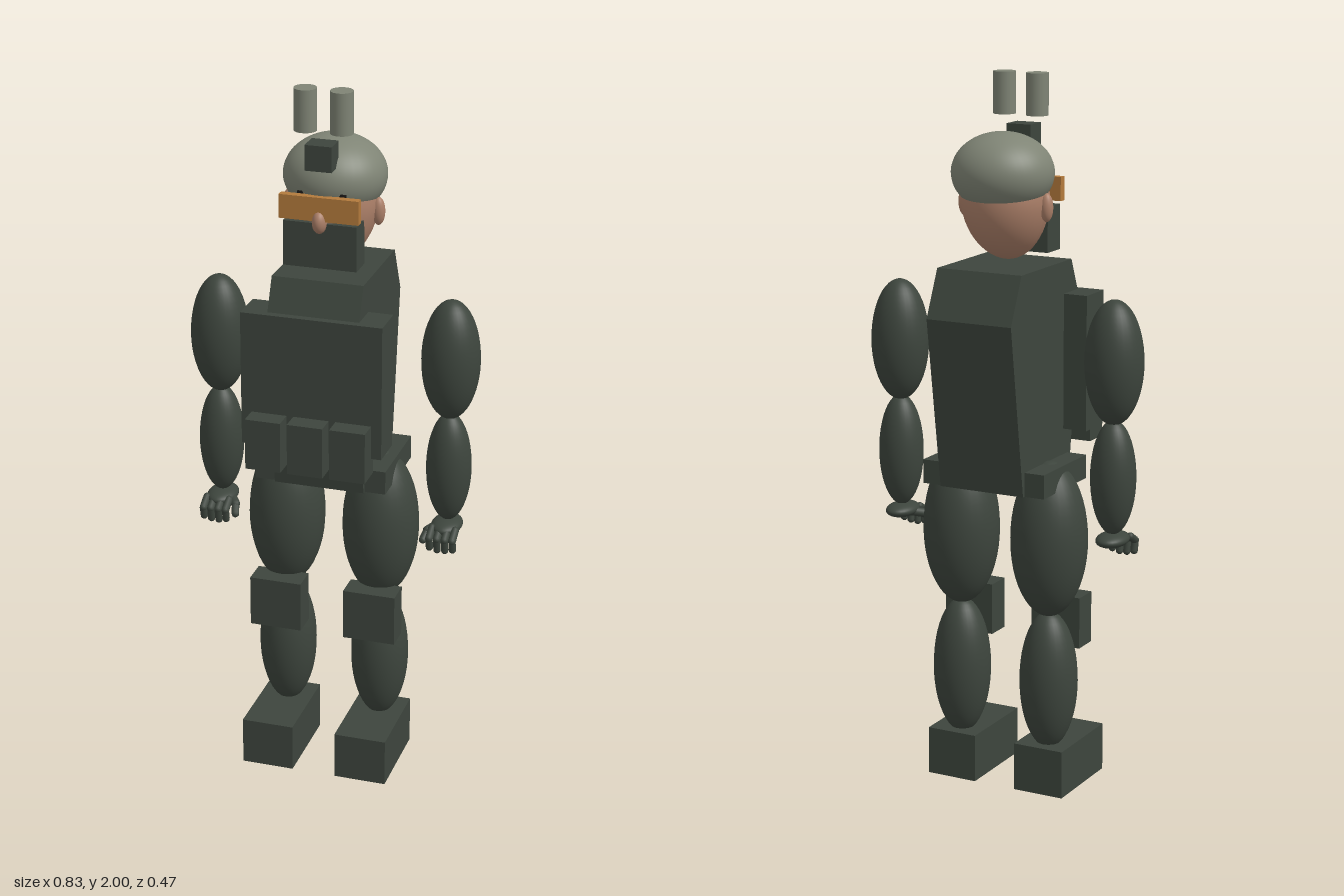
import * as THREE from 'three';

const mat = (name, color, side = THREE.FrontSide) => {
  const m = new THREE.MeshStandardMaterial({ color, side });
  m.name = name;
  return m;
};

export function createModel() {
  const root = new THREE.Group();
  root.name = 'soldier';
  const gear = mat('dark green gear', 0x3d453d);
  const shell = mat('grey green shell', 0x7f8475, THREE.DoubleSide);
  const skin = mat('skin', 0xab7f68);
  const amber = mat('amber lens', 0xb37a3c);
  const white = mat('eye white', 0xd8d8d0);
  const dark = mat('pupil and brow', 0x1c1a18);

  const add = (name, geo, material, x = 0, y = 0, z = 0, parent = root) => {
    const m = new THREE.Mesh(geo, material);
    m.name = name;
    m.position.set(x, y, z);
    parent.add(m);
    return m;
  };
  // box given by its extents on each axis
  const box = (name, material, [x0, x1], [y0, y1], [z0, z1], parent) =>
    add(name, new THREE.BoxGeometry(x1 - x0, y1 - y0, z1 - z0), material,
      (x0 + x1) / 2, (y0 + y1) / 2, (z0 + z1) / 2, parent);
  const ball = (name, material, [x, y, z], [rx, ry, rz], parent) =>
    add(name, new THREE.SphereGeometry(1, 32, 24).scale(rx, ry, rz), material, x, y, z, parent);
  // rounded rod between two points
  const rod = (name, material, a, b, r, parent) => {
    const p = new THREE.Vector3(...a), q = new THREE.Vector3(...b);
    const d = q.clone().sub(p);
    const m = add(name, new THREE.CapsuleGeometry(r, d.length(), 4, 10), material, 0, 0, 0, parent);
    m.position.copy(p).lerp(q, 0.5);
    m.quaternion.setFromUnitVectors(new THREE.Vector3(0, 1, 0), d.normalize());
    return m;
  };

  // torso: side profile (z, y) extruded across x
  const profile = [[0.12, 1.49], [-0.175, 1.49], [-0.235, 1.36], [-0.165, 0.88], [0.11, 0.88], [0.175, 1.36]];
  const torso = new THREE.ExtrudeGeometry(
    new THREE.Shape(profile.map(([z, y]) => new THREE.Vector2(-z, y))),
    { depth: 0.256, bevelEnabled: false });
  torso.translate(0, 0, -0.128).rotateY(Math.PI / 2);
  add('torso', torso, gear);
  box('chestPlate', gear, [-0.198, 0.198], [1.02, 1.4], [0.075, 0.18]);
  box('belt', gear, [-0.187, 0.187], [0.88, 0.947], [-0.157, 0.1]);
  for (const x of [-0.119, 0, 0.119])
    box('pouch', gear, [x - 0.05, x + 0.05], [0.97, 1.115], [0.16, 0.237]);

  // head: ellipsoid narrowing forward to the chin
  const head = new THREE.SphereGeometry(1, 40, 28);
  const p = head.attributes.position;
  for (let i = 0; i < p.count; i++) {
    const y = p.getY(i), low = Math.max(0, -y);
    p.setXYZ(i, p.getX(i) * 0.122 * (1 - 0.1 * low), y * 0.16, p.getZ(i) * 0.118 + 0.02 * low * low);
  }
  head.computeVertexNormals();
  add('head', head, skin, 0, 1.66, -0.025);
  ball('nose', skin, [0, 1.648, 0.1], [0.02, 0.032, 0.026]);

  // helmet: open dome, raised at the brow
  const dome = new THREE.SphereGeometry(1, 40, 24, 0, Math.PI * 2, 0, Math.PI * 0.665);
  dome.rotateX(-0.17).scale(0.141, 0.11, 0.137);
  add('helmet', dome, shell, 0, 1.74, -0.04);

  box('goggles', amber, [-0.11, 0.11], [1.652, 1.718], [0.088, 0.11]);
  box('faceMask', gear, [-0.102, 0.102], [1.518, 1.643], [0.027, 0.1]);
  box('visorMount', gear, [-0.037, 0.037], [1.79, 1.86], [0.05, 0.113]);

  for (const s of [-1, 1]) {
    const side = s > 0 ? 'left' : 'right';
    const limb = new THREE.Group();
    limb.name = side + 'Side';
    root.add(limb);

    // face details and optics
    ball('ear', skin, [s * 0.125, 1.651, -0.025], [0.018, 0.039, 0.018], limb);
    ball('eye', white, [s * 0.045, 1.69, 0.07], [0.016, 0.014, 0.014], limb);
    ball('pupil', dark, [s * 0.045, 1.69, 0.081], [0.008, 0.008, 0.006], limb);
    const brow = box('brow', dark, [s * 0.047 - 0.02, s * 0.047 + 0.02], [1.716, 1.725], [0.076, 0.085], limb);
    brow.rotation.z = -s * 0.1;
    add('opticTube', new THREE.CylinderGeometry(0.031, 0.031, 0.115, 24), shell, s * 0.05, 1.9425, 0.064, limb);

    // arm
    ball('upperArm', gear, [s * 0.332, 1.248, -0.028], [0.081, 0.172, 0.081], limb);
    ball('forearm', gear, [s * 0.332, 0.93, -0.028], [0.063, 0.16, 0.063], limb);

    // hand with curled fingers
    ball('palm', gear, [s * 0.331, 0.755, -0.025], [0.043, 0.021, 0.063], limb);
    for (let i = 0; i < 4; i++) {
      const x = s * (0.299 + i * 0.022), tip = 0.702 + Math.abs(i - 1.4) * 0.005;
      rod('fingerBase', gear, [x, 0.757, 0.015], [x, 0.738, 0.047], 0.011, limb);
      rod('fingerTip', gear, [x, 0.738, 0.047], [x, tip, 0.041], 0.0105, limb);
    }
    rod('thumbBase', gear, [s * 0.31, 0.753, -0.03], [s * 0.283, 0.742, 0.005], 0.013, limb);
    rod('thumbTip', gear, [s * 0.283, 0.742, 0.005], [s * 0.276, 0.722, 0.028], 0.011, limb);

    // leg
    ball('thigh', gear, [s * 0.138, 0.73, -0.028], [0.108, 0.222, 0.108], limb);
    ball('calf', gear, [s * 0.138, 0.32, -0.028], [0.082, 0.2, 0.082], limb);
    const span = [s * 0.138 - 0.075, s * 0.138 + 0.075];
    box('kneePad', gear, span, [0.41, 0.557], [0.012, 0.087], limb);
    box('boot', gear, span, [0, 0.137], [-0.093, 0.168], limb);
  }
  return root;
}
